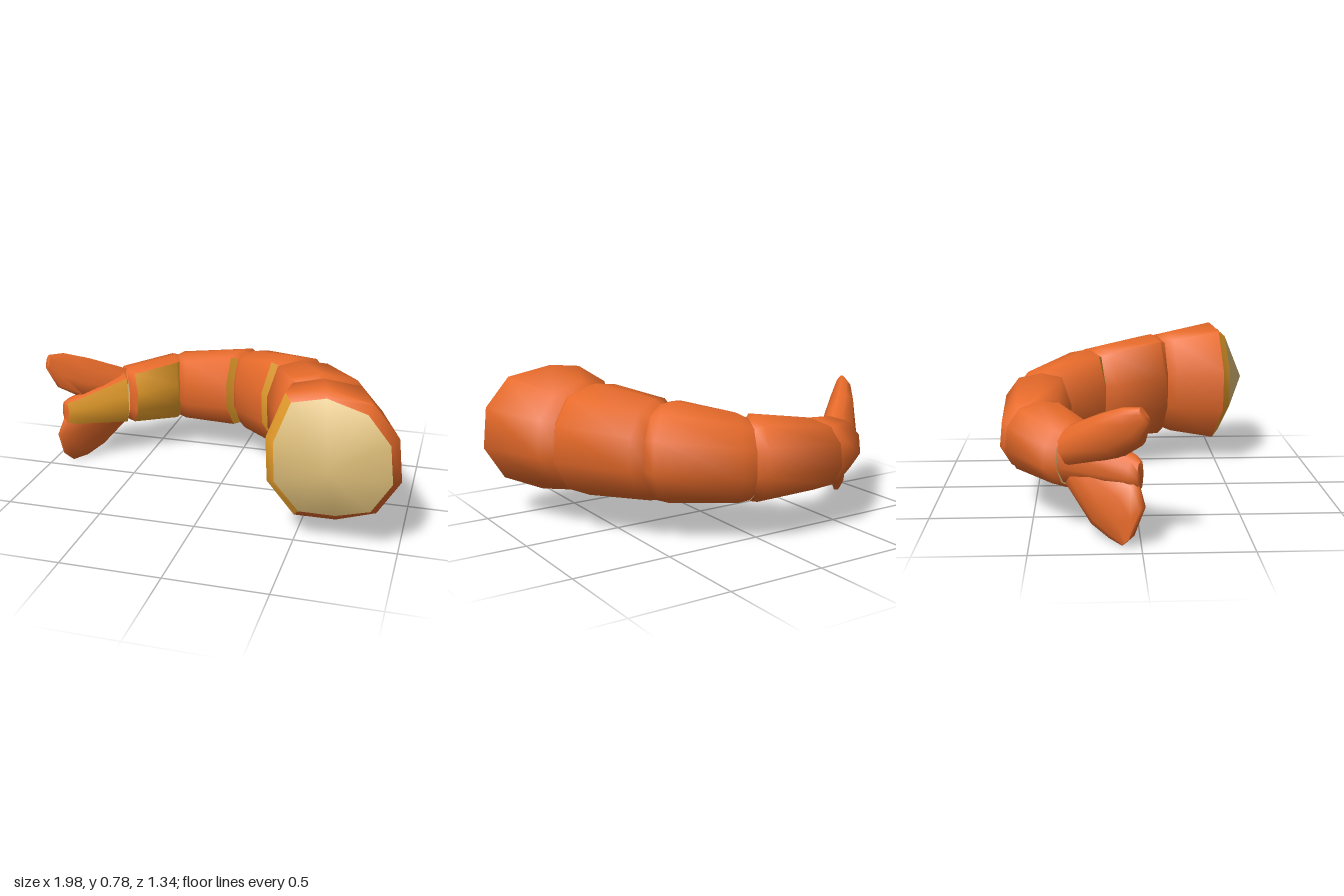
import * as THREE from 'three';
import { toCreasedNormals } from 'three/addons/utils/BufferGeometryUtils.js';

// cross-section shared by all parts: outer side at +1, flatter inner side at -1
const SECTION = [
  [0.99, -0.23], [0.92, 0.41], [0.53, 0.86], [-0.16, 1], [-0.72, 0.92],
  [-0.98, 0.25], [-0.95, -0.42], [-0.56, -0.98], [0.06, -1], [0.66, -0.75],
];
const SIDES = SECTION.length;
const INNER_SIDES = [4, 5, 6];
const V = (x, y, z) => new THREE.Vector3(x, y, z);

// upright ring from its inner and outer points (x, z) and its bottom and top heights
function ring(xi, zi, xo, zo, bottom, top, warp = 0) {
  const h = (top - bottom) / 2;
  return {
    c: V((xi + xo) / 2, bottom + h, (zi + zo) / 2),
    u: V((xo - xi) / 2, 0, (zo - zi) / 2),
    v: V(0, h, 0), warp,
  };
}

// skin over rings; inner faces of the listed bands take the belly colour, both ends are capped
function loft(name, rings, bellyBands, mats, frontTip = null, endColour = 2, frontColour = 2) {
  const pts = rings.map(({ c, u, v, warp = 0 }) => SECTION.map(([s, t]) => {
    const p = c.clone().addScaledVector(u, s).addScaledVector(v, t);
    p.z -= warp * t ** 10;
    return p;
  }));
  const faces = [[], [], []];
  const last = rings.length - 1;
  const front = frontTip || rings[last].c;
  for (let j = 0; j < SIDES; j++) {
    const k = (j + 1) % SIDES;
    for (let i = 0; i < last; i++) {
      const [a, b, c, d] = [pts[i][j], pts[i][k], pts[i + 1][k], pts[i + 1][j]];
      const onBelly = INNER_SIDES.includes(j) && bellyBands.includes(i);
      faces[onBelly ? 1 : 0].push(a, b, c, a, c, d);
    }
    faces[endColour].push(rings[0].c, pts[0][k], pts[0][j]);
    faces[frontColour].push(front, pts[last][j], pts[last][k]);
  }
  // one smooth mesh for each colour, so the colour borders stay sharp
  const part = new THREE.Group();
  part.name = name;
  faces.forEach((corners, m) => {
    if (!corners.length) return;
    const geo = new THREE.BufferGeometry().setFromPoints(corners);
    const mesh = new THREE.Mesh(toCreasedNormals(geo, 1.2), mats[m]);
    mesh.name = `${name}${['Shell', 'Belly', 'Flesh'][m]}`;
    part.add(mesh);
  });
  return part;
}

// flattened tail blade: stations run from tip to root as [x, y, z, half thickness, half height]
function fin(name, out, side, stations, mats) {
  const v = out.clone().negate().cross(side).normalize();
  const u = v.clone().cross(out).negate().normalize();
  const rings = stations.map(([x, y, z, t, h]) => ({
    c: V(x, y, z), u: u.clone().multiplyScalar(t), v: v.clone().multiplyScalar(h),
  }));
  return loft(name, rings, [], mats, null, 0, 0);
}

export function createModel() {
  const shell = new THREE.MeshStandardMaterial({ color: 0xea6c2b });
  shell.name = 'orange shell';
  const belly = new THREE.MeshStandardMaterial({ color: 0xe69d2a });
  belly.name = 'yellow belly';
  const flesh = new THREE.MeshStandardMaterial({ color: 0xdfbf7a });
  flesh.name = 'cream flesh';
  const mats = [shell, belly, flesh];
  const group = new THREE.Group();
  group.name = 'curledTail';

  // front segment with its domed cut face
  group.add(loft('frontSegment', [
    ring(0.41, 0.205, 0.78, 0.09, 0.195, 0.705),
    ring(0.355, 0.27, 0.87, 0.13, 0.175, 0.735),
    ring(0.355, 0.53, 1.0, 0.51, 0.125, 0.785, 0.05),
    ring(0.40, 0.57, 0.965, 0.57, 0.165, 0.75, 0.06),
  ], [2], mats, V(0.68, 0.455, 0.67)));

  // overlapping segments, front to back: belly bands, then rings from back to front
  const segments = [
    [[], [0.25, -0.15, 0.51, -0.32, 0.195, 0.655], [0.225, -0.07, 0.60, -0.31, 0.185, 0.685],
      [0.34, 0.20, 0.83, 0.03, 0.165, 0.73], [0.41, 0.225, 0.79, 0.11, 0.19, 0.71]],
    [[2], [-0.03, -0.36, 0.07, -0.62, 0.20, 0.59], [0, -0.29, 0.17, -0.63, 0.185, 0.625],
      [0.18, -0.135, 0.52, -0.39, 0.18, 0.68], [0.26, -0.13, 0.525, -0.31, 0.19, 0.66]],
    [[2], [-0.36, -0.38, -0.44, -0.61, 0.20, 0.54], [-0.30, -0.335, -0.41, -0.66, 0.19, 0.56],
      [-0.06, -0.315, 0.05, -0.675, 0.185, 0.615], [-0.015, -0.36, 0.085, -0.62, 0.195, 0.595]],
    [[1, 2], [-0.60, -0.24, -0.73, -0.38, 0.205, 0.485], [-0.54, -0.21, -0.73, -0.44, 0.195, 0.505],
      [-0.345, -0.33, -0.48, -0.63, 0.19, 0.55], [-0.345, -0.38, -0.425, -0.61, 0.195, 0.545]],
  ];
  segments.forEach(([bands, ...rows], i) => {
    group.add(loft(`bodySegment${i + 1}`, rows.map((r) => ring(...r)), bands, mats));
  });

  // tail: middle wedge and two spread blades
  group.add(loft('tailWedge', [
    ring(-0.865, 0.01, -0.915, -0.02, 0.26, 0.385),
    ring(-0.81, -0.005, -0.91, -0.06, 0.25, 0.40),
    ring(-0.585, -0.18, -0.72, -0.39, 0.205, 0.485),
  ], [0, 1], mats, null, 0));
  group.add(fin('upperTailFin', V(-0.55, 0.36, 0.6), V(-0.72, -0.4, -0.57), [
    [-0.97, 0.61, 0.01, 0.02, 0.04],
    [-0.925, 0.55, -0.045, 0.045, 0.095],
    [-0.84, 0.485, -0.14, 0.07, 0.11],
    [-0.69, 0.40, -0.30, 0.10, 0.09],
  ], mats));
  group.add(fin('lowerTailFin', V(-0.36, -0.72, 0.6), V(-0.85, 0, -0.53), [
    [-0.915, 0.03, -0.06, 0.015, 0.04],
    [-0.89, 0.105, -0.065, 0.035, 0.125],
    [-0.84, 0.18, -0.12, 0.05, 0.165],
    [-0.69, 0.29, -0.27, 0.07, 0.10],
  ], mats));
  return group;
}
